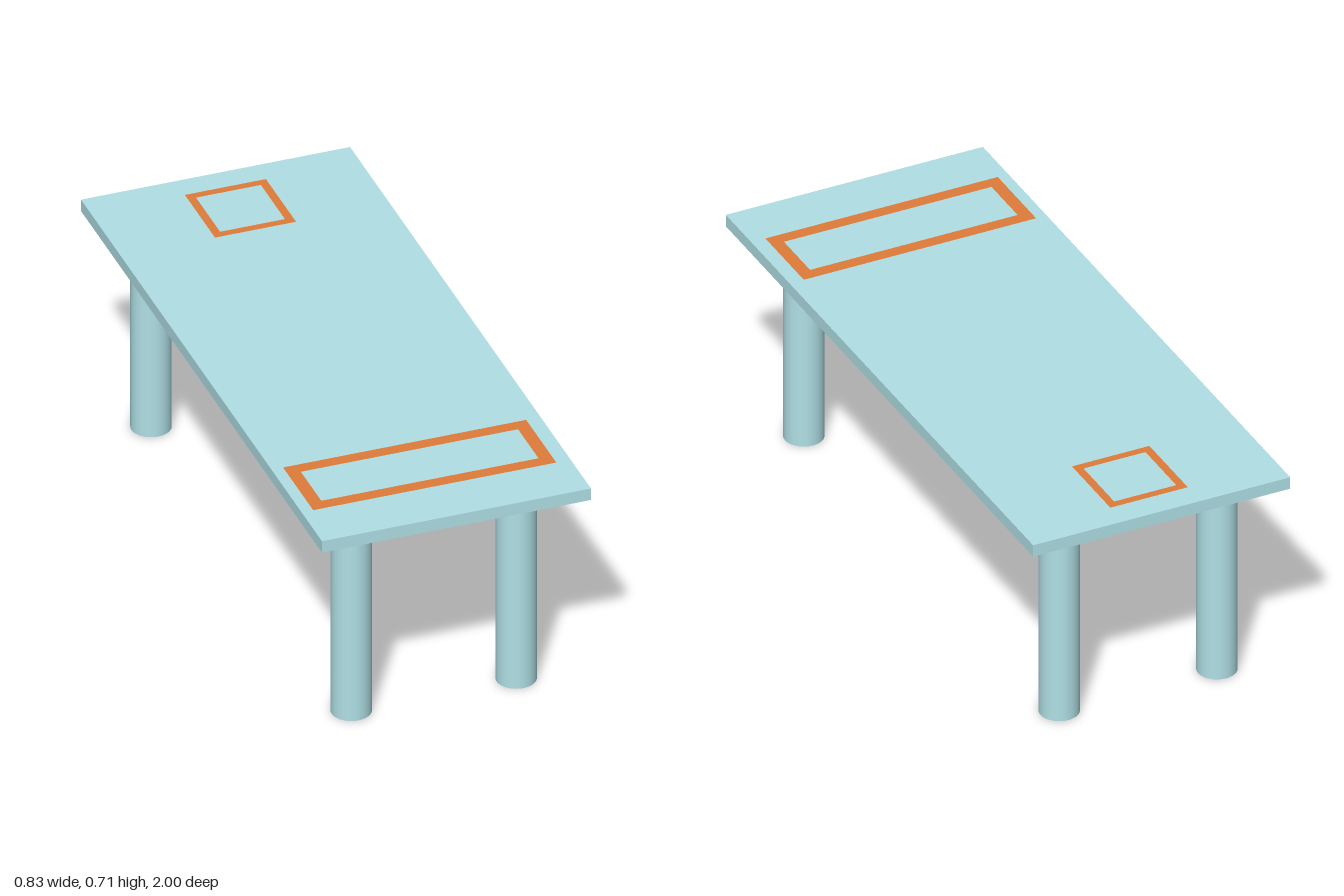
import * as THREE from 'three';

const TOP_Y = 0.706, UNDER_Y = 0.667;

// Flat rectangular outline lying on the tabletop
function inlay(name, cx, cz, w, d, border, material) {
  const rect = (P, hw, hd) => new P([
    new THREE.Vector2(-hw, -hd), new THREE.Vector2(hw, -hd),
    new THREE.Vector2(hw, hd), new THREE.Vector2(-hw, hd),
  ]);
  const shape = rect(THREE.Shape, w / 2, d / 2);
  shape.holes.push(rect(THREE.Path, w / 2 - border, d / 2 - border));
  const mesh = new THREE.Mesh(new THREE.ShapeGeometry(shape), material);
  mesh.name = name;
  mesh.rotation.x = -Math.PI / 2;
  mesh.position.set(cx, TOP_Y + 0.001, cz);
  return mesh;
}

export function createModel() {
  const group = new THREE.Group();
  group.name = 'table';
  const blue = new THREE.MeshStandardMaterial({ color: 0xb0e0e6 });
  const orange = new THREE.MeshStandardMaterial({ color: 0xe07b39, side: THREE.DoubleSide });

  // Tabletop slab
  const top = new THREE.Mesh(new THREE.BoxGeometry(0.83, TOP_Y - UNDER_Y, 2), blue);
  top.name = 'tabletop';
  top.position.y = (TOP_Y + UNDER_Y) / 2;
  group.add(top);

  // Four round legs, set slightly towards the right side
  const legGeometry = new THREE.CylinderGeometry(0.06, 0.06, UNDER_Y, 48);
  for (const [side, x] of [['Left', 0.247], ['Right', -0.262]]) {
    for (const [end, z] of [['front', 0.831], ['back', -0.831]]) {
      const leg = new THREE.Mesh(legGeometry, blue);
      leg.name = `${end}${side}Leg`;
      leg.position.set(x, UNDER_Y / 2, z);
      group.add(leg);
    }
  }

  // Orange outlines marked on the top surface
  group.add(inlay('frontOutline', -0.005, 0.708, 0.75, 0.25, 0.04, orange));
  group.add(inlay('backOutline', 0, -0.793, 0.25, 0.25, 0.025, orange));
  return group;
}
